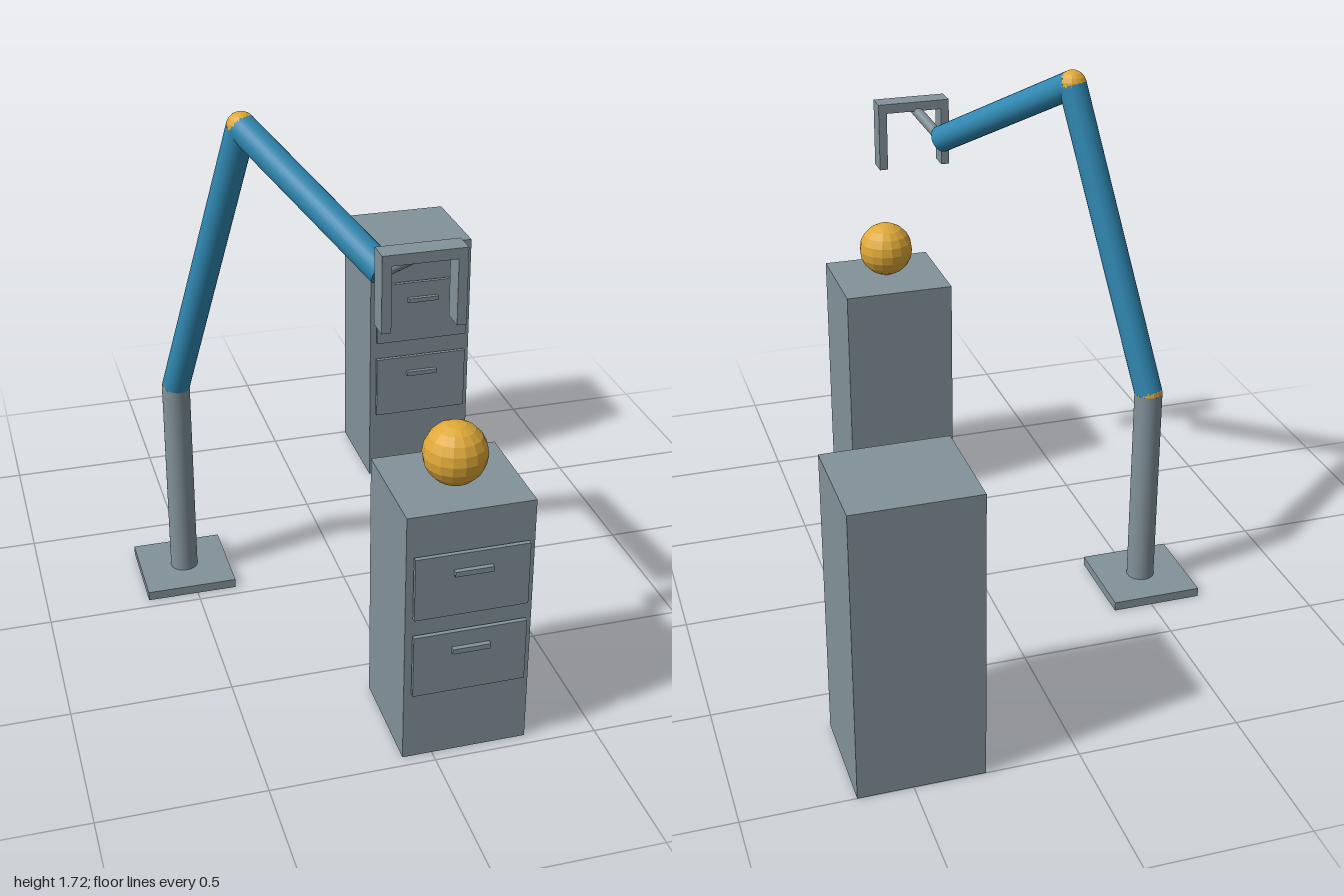
import * as THREE from 'three';

const grey = new THREE.MeshStandardMaterial({ color: 0x82929a });
grey.name = 'steel grey';
const blue = new THREE.MeshStandardMaterial({ color: 0x3088b2 });
blue.name = 'arm blue';
const amber = new THREE.MeshStandardMaterial({ color: 0xdfa838 });
amber.name = 'amber';
amber.flatShading = true;

function add(parent, name, geometry, material) {
  const mesh = new THREE.Mesh(geometry, material);
  mesh.name = name;
  parent.add(mesh);
  return mesh;
}

// Box given by its lower and upper corners
function box(parent, name, [x0, y0, z0], [x1, y1, z1]) {
  const mesh = add(parent, name, new THREE.BoxGeometry(x1 - x0, y1 - y0, z1 - z0), grey);
  mesh.position.set((x0 + x1) / 2, (y0 + y1) / 2, (z0 + z1) / 2);
}

// Cylinder running between two points
function rod(parent, name, a, b, radius, material) {
  const dir = b.clone().sub(a);
  const mesh = add(parent, name, new THREE.CylinderGeometry(radius, radius, dir.length(), 24), material);
  mesh.position.copy(a).add(b).multiplyScalar(0.5);
  mesh.quaternion.setFromUnitVectors(new THREE.Vector3(0, 1, 0), dir.normalize());
}

function ball(parent, name, centre, radius) {
  add(parent, name, new THREE.SphereGeometry(radius, 16, 10), amber).position.copy(centre);
}

// Cabinet with two drawer fronts set just off the body, each with a bar handle
function cabinet(parent, name, cx, zBack, height, drawers) {
  const group = new THREE.Group();
  group.name = name;
  const zf = zBack + 0.346;
  box(group, 'cabinetBody', [cx - 0.19, 0, zBack], [cx + 0.19, height, zf]);
  for (const [y0, y1] of drawers) {
    const ym = (y0 + y1) / 2 + (y1 - y0) * 0.08;
    const hy = ym + 0.136 * (y1 - y0);
    box(group, 'drawerFront', [cx - 0.17, y0, zf + 0.008], [cx + 0.17, y1, zf + 0.022]);
    box(group, 'drawerHandle', [cx - 0.057, hy - 0.008, zf + 0.022], [cx + 0.057, hy + 0.008, zf + 0.037]);
  }
  parent.add(group);
}

export function createModel() {
  const model = new THREE.Group();
  model.name = 'robotArmAndCabinets';

  // Cabinets and the ball resting on the front one
  cabinet(model, 'frontCabinet', 0.1, 0.617, 0.815, [[0.23, 0.431], [0.49, 0.691]]);
  cabinet(model, 'rearCabinet', 0.475, -1, 0.92, [[0.26, 0.488], [0.555, 0.785]]);
  ball(model, 'ball', new THREE.Vector3(0.1, 0.91, 0.807), 0.095);

  // Arm joints
  const foot = new THREE.Vector3(-0.518, 0.03, -0.187);
  const shoulder = new THREE.Vector3(-0.518, 0.715, -0.187);
  const elbow = new THREE.Vector3(-0.337, 1.677, 0.1);
  const wrist = new THREE.Vector3(-0.045, 1.381, 0.572);
  const grip = new THREE.Vector3(0.028, 1.474, 0.688);

  const arm = new THREE.Group();
  arm.name = 'robotArm';
  model.add(arm);
  box(arm, 'basePlate', [-0.667, 0, -0.336], [-0.37, 0.03, -0.039]);
  rod(arm, 'column', foot, shoulder, 0.0455, grey);
  ball(arm, 'shoulderJoint', shoulder, 0.0455);
  rod(arm, 'lowerArm', shoulder, elbow, 0.045, blue);
  ball(arm, 'elbowJoint', elbow, 0.0455);
  rod(arm, 'upperArm', elbow, wrist, 0.045, blue);
  rod(arm, 'wristRod', wrist, grip, 0.018, grey);

  // Gripper: crossbar with two fingers hanging down
  box(arm, 'gripperBar', [-0.095, 1.46, 0.653], [0.151, 1.492, 0.723]);
  for (const x of [-0.095, 0.123]) {
    box(arm, 'gripperFinger', [x, 1.262, 0.653], [x + 0.028, 1.46, 0.723]);
  }
  return model;
}
